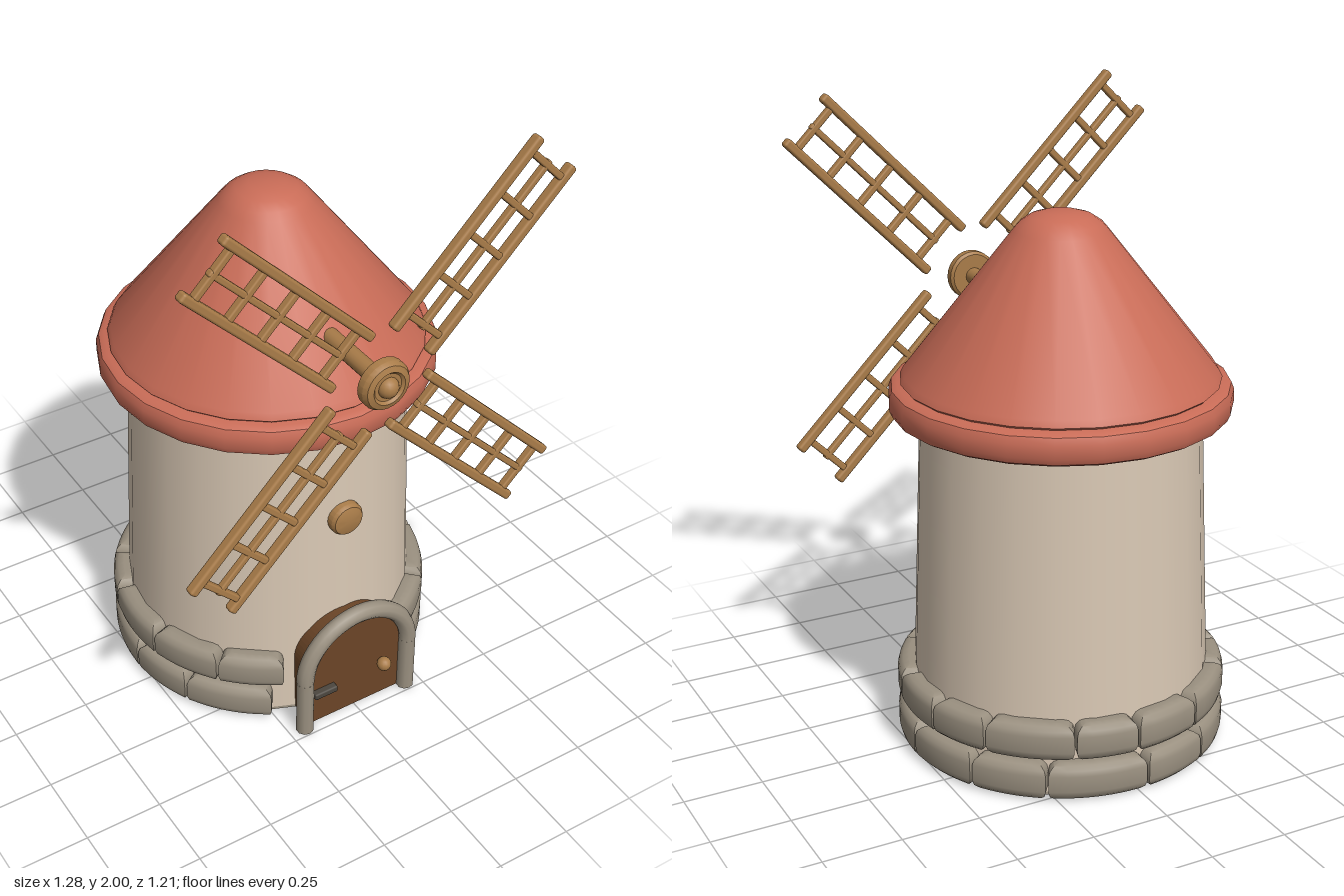
import * as THREE from 'three';
import { toCreasedNormals } from 'three/addons/utils/BufferGeometryUtils.js';
import { RoundedBoxGeometry } from 'three/addons/geometries/RoundedBoxGeometry.js';

const mat = (name, color) => Object.assign(new THREE.MeshStandardMaterial({ color }), { name });

export function createModel() {
  const model = new THREE.Group();
  model.name = 'windmill';
  const plaster = mat('plaster', 0xd9c8b4);
  const roofRed = mat('roof red', 0xc96c57);
  const stone = mat('stone', 0x9a9080);
  const wood = mat('wood', 0xa97c49);
  const doorBrown = mat('door brown', 0x6b4527);
  const iron = mat('iron', 0x4b463f);
  const AXIS_Z = -0.075;

  const add = (parent, name, geometry, material, x = 0, y = 0, z = 0) => {
    const mesh = new THREE.Mesh(geometry, material);
    mesh.name = name;
    mesh.position.set(x, y, z);
    parent.add(mesh);
    return mesh;
  };
  const lathe = (points, sides = 24, crease = 0.6) =>
    toCreasedNormals(new THREE.LatheGeometry(points.map(p => new THREE.Vector2(...p)), sides), crease);

  // Tower body with a stone underside
  const tower = new THREE.Group();
  tower.name = 'tower';
  tower.position.z = AXIS_Z;
  model.add(tower);
  add(tower, 'wall', new THREE.CylinderGeometry(0.437, 0.48, 1.1, 24, 1, true), plaster, 0, 0.56);
  add(tower, 'base', new THREE.CylinderGeometry(0.479, 0.48, 0.012, 24), stone, 0, 0.006);

  // Roof: rounded eave and blunt cone
  add(tower, 'eave', lathe([
    [0.42, 1.08], [0.505, 1.08], [0.523, 1.09], [0.532, 1.11], [0.532, 1.15],
    [0.523, 1.172], [0.505, 1.182], [0.42, 1.185],
  ]), roofRed);
  add(tower, 'roof', lathe([
    [0.48, 1.175], [0.495, 1.19], [0.485, 1.21], [0.145, 1.645],
    [0.125, 1.668], [0.095, 1.688], [0.055, 1.7], [0, 1.703],
  ]), roofRed);

  // Two rings of curved stones, leaving a gap for the door
  const stoneBlock = (start, end) => {
    const bevel = 0.034, inner = 0.452 + 0.01, outer = 0.524 - bevel;
    const inset = bevel / 0.5 + 0.004;
    const a = start + inset - Math.PI / 2, b = end - inset - Math.PI / 2;
    const shape = new THREE.Shape();
    shape.absarc(0, 0, outer, a, b, false);
    shape.absarc(0, 0, inner, b, a, true);
    const geometry = new THREE.ExtrudeGeometry(shape, {
      depth: 0.052, bevelThickness: bevel, bevelSize: bevel, bevelSegments: 3, curveSegments: 5,
    });
    geometry.rotateX(-Math.PI / 2);
    return toCreasedNormals(geometry, 0.7);
  };
  [[12, 0.0, 'lowerStone'], [14, 0.133, 'upperStone']].forEach(([count, y, name]) => {
    const step = Math.PI * 2 / count;
    const edge = i => i * step + (i > 1 && i < count - 1 ? 0.05 * Math.sin(i * 2.3) : 0);
    for (let i = 1; i < count - 1; i++) {
      add(tower, name, stoneBlock(edge(i), edge(i + 1)), stone, 0, y + 0.034);
    }
  });

  // Arched door
  const entrance = new THREE.Group();
  entrance.name = 'entrance';
  model.add(entrance);
  const arch = new THREE.Shape();
  arch.moveTo(-0.17, 0);
  arch.lineTo(0.17, 0);
  arch.lineTo(0.17, 0.207);
  arch.absarc(0, 0.207, 0.17, 0, Math.PI, false);
  add(entrance, 'door', new THREE.ExtrudeGeometry(arch, { depth: 0.11, bevelEnabled: false, curveSegments: 16 }),
    doorBrown, 0, 0.003, 0.35);

  // Round stone door frame
  add(entrance, 'frameArch', new THREE.TorusGeometry(0.196, 0.029, 10, 24, Math.PI), stone, 0, 0.21, 0.468);
  for (const side of [-1, 1]) {
    add(entrance, 'framePost', new THREE.CylinderGeometry(0.029, 0.029, 0.21, 10), stone, side * 0.196, 0.105, 0.468);
  }
  add(entrance, 'doorKnob', new THREE.SphereGeometry(0.024, 14, 10), wood, 0.095, 0.155, 0.487);
  add(entrance, 'doorHinge', new RoundedBoxGeometry(0.085, 0.024, 0.03, 2, 0.006), iron, -0.122, 0.13, 0.468);

  // Round boss on the wall above the door
  add(model, 'wallBoss', lathe([
    [0, -0.04], [0.057, -0.04], [0.057, 0.018], [0.05, 0.029], [0.035, 0.034], [0, 0.036],
  ]), wood, 0, 0.74, 0.373).rotation.x = Math.PI / 2;

  // Sail shaft and hub
  const rotor = new THREE.Group();
  rotor.name = 'rotor';
  rotor.position.set(0, 1.355, 0.537);
  model.add(rotor);
  add(rotor, 'shaft', new THREE.CylinderGeometry(0.028, 0.028, 0.29, 16), wood, 0, 0, -0.122).rotation.x = Math.PI / 2;
  add(rotor, 'hub', lathe([
    [0, -0.004], [0.072, -0.004], [0.081, 0.004], [0.081, 0.028], [0.072, 0.042],
    [0.054, 0.048], [0.046, 0.04], [0, 0.04],
  ]), wood).rotation.x = Math.PI / 2;
  add(rotor, 'hubCap', new THREE.SphereGeometry(0.034, 16, 12), wood, 0, 0, 0.036);

  // Four lattice sails
  for (let i = 0; i < 4; i++) {
    const sail = new THREE.Group();
    sail.name = 'sail';
    sail.rotation.z = Math.PI / 4 + i * Math.PI / 2;
    rotor.add(sail);
    for (const side of [-1, 1]) {
      add(sail, 'sideRail', new RoundedBoxGeometry(0.665, 0.03, 0.034, 2, 0.009), wood, 0.4735, side * 0.09, 0);
    }
    add(sail, 'middleRail', new RoundedBoxGeometry(0.59, 0.02, 0.024, 2, 0.006), wood, 0.48, 0, 0);
    for (let k = 0; k < 5; k++) {
      add(sail, 'crossBar', new RoundedBoxGeometry(0.022, 0.17, 0.026, 2, 0.006), wood, 0.2 + k * 0.14, 0, 0);
    }
  }
  return model;
}
